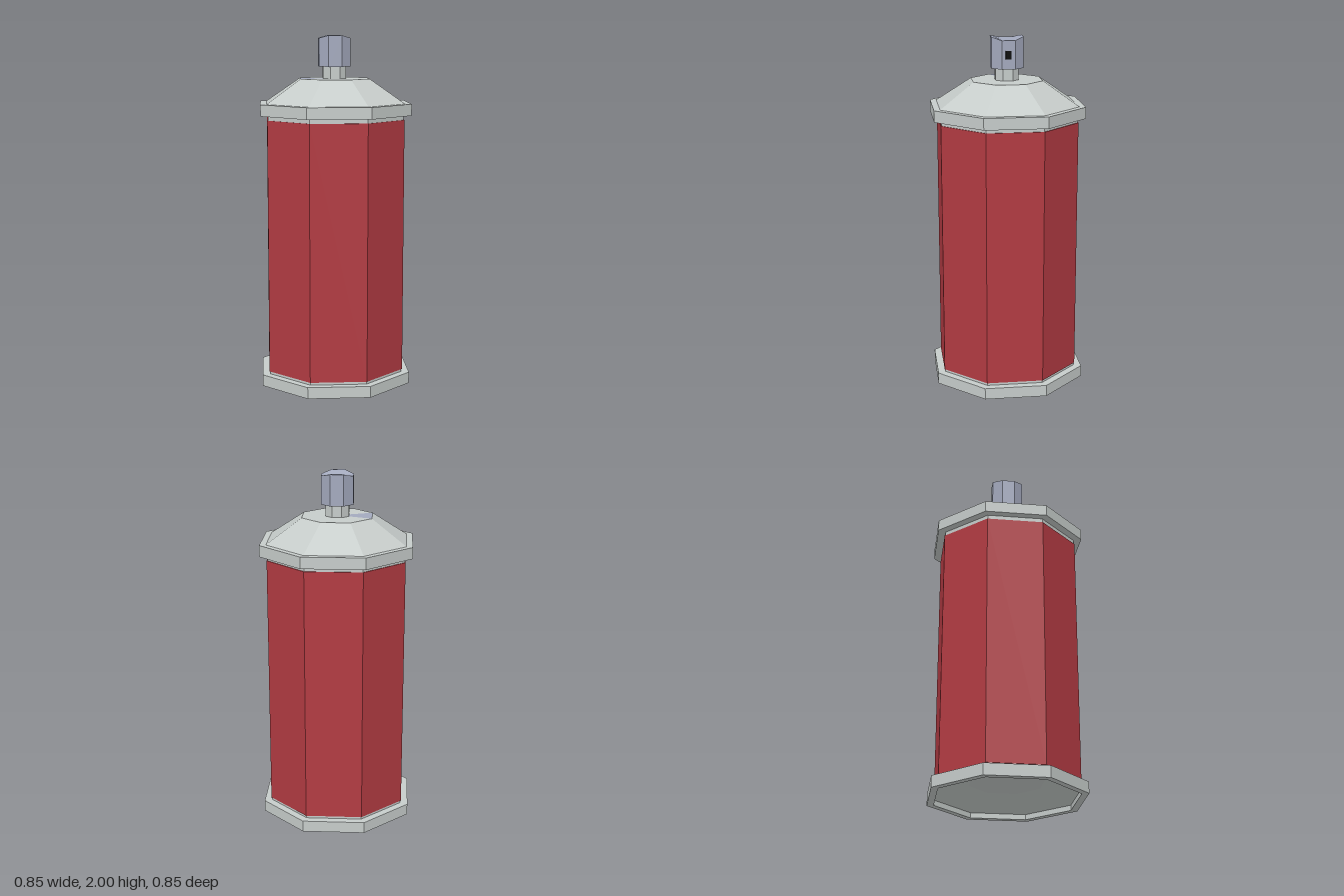
import * as THREE from 'three';

const STEP = Math.PI / 4;
const ACROSS = 1 / Math.cos(STEP / 2); // flat distance -> corner radius

const paint = (color) => new THREE.MeshStandardMaterial({ color, flatShading: true });
const metal = paint(0xc6ccca);
const red = paint(0xb23b42);
const blueGrey = paint(0xa3a9bd);
const black = paint(0x050505);

// Eight-sided turned part; profile points are [flat distance, height]
function turned(name, profile, material, first = 0, sides = 8) {
  const points = profile.map(([d, y]) => new THREE.Vector2(d * ACROSS, y));
  const geometry = new THREE.LatheGeometry(points, sides, STEP * (first + 0.5), STEP * sides);
  const mesh = new THREE.Mesh(geometry, material);
  mesh.name = name;
  return mesh;
}

// Octagonal button whose top is a shallow finger groove running along x
function buttonGeometry() {
  const grooveY = (z) => 1.983 + 0.017 * THREE.MathUtils.smoothstep(Math.abs(z), 0.03, 0.07);
  const ring = (d, height) => Array.from({ length: 8 }, (_, i) => {
    const a = STEP * (i + 0.5);
    const x = d * ACROSS * Math.sin(a);
    const z = d * ACROSS * Math.cos(a);
    return [x, height ?? grooveY(z), z];
  });
  const rings = [ring(0.06, 1.825), ring(0.09, 1.825), ring(0.09), ring(0.071)];
  const position = [];
  const quad = (a, b, c, d) => position.push(...a, ...b, ...c, ...a, ...c, ...d);
  for (let r = 0; r < rings.length - 1; r++) {
    for (let i = 0; i < 8; i++) {
      const j = (i + 1) % 8;
      quad(rings[r][i], rings[r][j], rings[r + 1][j], rings[r + 1][i]);
    }
  }
  // Groove: strips between mirrored corners, front to back
  const top = rings[3];
  for (let i = 0; i < 3; i++) quad(top[i], top[i + 1], top[6 - i], top[(7 - i) % 8]);
  const geometry = new THREE.BufferGeometry();
  geometry.setAttribute('position', new THREE.Float32BufferAttribute(position, 3));
  geometry.computeVertexNormals();
  return geometry;
}

export function createModel() {
  const model = new THREE.Group();
  model.name = 'sprayCan';

  // Painted body
  model.add(turned('body', [[0.38, 0.08], [0.385, 0.08], [0.385, 1.53], [0.38, 1.53]], red));

  // Bottom rim with the dished base inside it
  model.add(turned('bottomRim', [
    [0, 0.095], [0.2, 0.095], [0.385, 0.03], [0.385, 0], [0.423, 0],
    [0.423, 0.065], [0.38, 0.065], [0.38, 0.08],
  ], metal));

  // Top rim and sloped shoulder
  model.add(turned('topRim', [
    [0.38, 1.53], [0.38, 1.555], [0.423, 1.555], [0.423, 1.62], [0.388, 1.62],
  ], metal));
  model.add(turned('shoulder', [[0.388, 1.62], [0.195, 1.757]], metal));

  // Flat deck, with one marked sector on the -x side
  const deck = [[0.195, 1.757], [0.06, 1.757]];
  model.add(turned('deck', deck, metal, -2, 7));
  model.add(turned('deckMark', deck, blueGrey, -3, 1));

  // Valve stem
  model.add(turned('stem', [[0.065, 1.757], [0.065, 1.825]], metal));

  // Spray button and its outlet
  const button = new THREE.Mesh(buttonGeometry(), blueGrey);
  button.name = 'button';
  model.add(button);
  const outlet = new THREE.Mesh(new THREE.BoxGeometry(0.01, 0.046, 0.032), black);
  outlet.name = 'outlet';
  outlet.position.set(0.086, 1.905, 0);
  model.add(outlet);

  return model;
}
